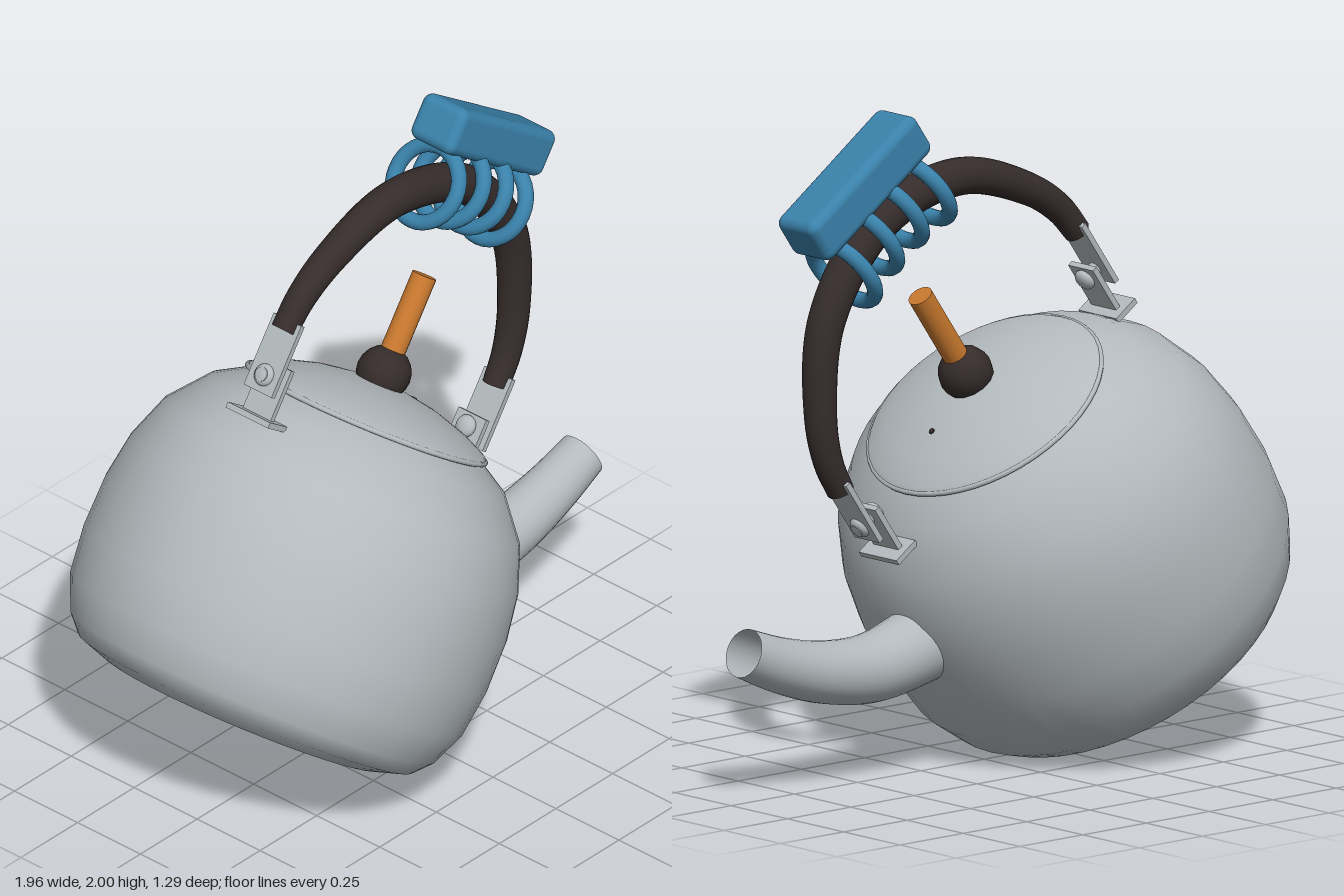
import * as THREE from 'three';
import { RoundedBoxGeometry } from 'three/addons/geometries/RoundedBoxGeometry.js';

const material = (name, color, side = THREE.FrontSide) => {
  const m = new THREE.MeshStandardMaterial({ color, side });
  m.name = name;
  return m;
};

const vec2 = (pts) => pts.map(([x, y]) => new THREE.Vector2(x, y));

// Tube along a smooth path, with a radius that varies along its length
function taperedTube(points, radiusAt, segments, sides) {
  const path = new THREE.CatmullRomCurve3(points.map(([x, y]) => new THREE.Vector3(x, y, 0)));
  const geo = new THREE.TubeGeometry(path, segments, 1, sides);
  const pos = geo.attributes.position;
  const v = new THREE.Vector3();
  for (let i = 0; i <= segments; i++) {
    const t = i / segments;
    const centre = path.getPointAt(t);
    for (let j = 0; j <= sides; j++) {
      const k = i * (sides + 1) + j;
      v.fromBufferAttribute(pos, k).sub(centre).multiplyScalar(radiusAt(t)).add(centre);
      pos.setXYZ(k, v.x, v.y, v.z);
    }
  }
  return geo;
}

export function createModel() {
  const steel = material('steel', 0xb3babd, THREE.DoubleSide);
  const dark = material('darkGrip', 0x352c2b);
  const blue = material('blue', 0x3a82ab);
  const wood = material('wood', 0xc8782e);

  const model = new THREE.Group();
  model.name = 'tiltedKettle';
  const kettle = new THREE.Group();
  kettle.name = 'kettle';
  kettle.position.set(-0.005, 1.07, 0);
  kettle.rotation.z = THREE.MathUtils.degToRad(-35);
  model.add(kettle);

  const add = (parent, name, geo, mat, x = 0, y = 0, z = 0) => {
    const mesh = new THREE.Mesh(geo, mat);
    mesh.name = name;
    mesh.position.set(x, y, z);
    parent.add(mesh);
    return mesh;
  };

  // Body: the lid rim lies at local y = 0
  const body = vec2([
    [0.44, -0.957], [0.535, -0.925], [0.582, -0.873], [0.628, -0.765], [0.645, -0.62],
    [0.642, -0.46], [0.62, -0.32], [0.568, -0.18], [0.468, -0.058], [0.37, 0.0],
  ]);
  add(kettle, 'body', new THREE.LatheGeometry(body, 48), steel);
  const base = add(kettle, 'base', new THREE.CircleGeometry(0.44, 48), steel, 0, -0.957, 0);
  base.rotation.x = Math.PI / 2;

  // Lid with rim, vent hole, knob and stick
  const lid = vec2([
    [0.385, 0.005], [0.37, 0.02], [0.3, 0.052], [0.2, 0.083], [0.1, 0.101], [0, 0.107],
  ]);
  add(kettle, 'lid', new THREE.LatheGeometry(lid, 48), steel);
  const rim = add(kettle, 'lidRim', new THREE.TorusGeometry(0.38, 0.008, 8, 48), steel, 0, 0.004, 0);
  rim.rotation.x = Math.PI / 2;
  const vent = add(kettle, 'ventHole', new THREE.CylinderGeometry(0.009, 0.009, 0.006, 12), dark, 0.2, 0.084, 0);
  vent.rotation.z = -0.25;
  add(kettle, 'knob', new THREE.SphereGeometry(0.083, 14, 10), dark, 0, 0.137, 0);
  add(kettle, 'knobStick', new THREE.CylinderGeometry(0.038, 0.038, 0.27, 20), wood, 0, 0.315, 0);

  // Handle mounts, mirrored on both sides
  for (const [side, name] of [[-1, 'rearMount'], [1, 'spoutSideMount']]) {
    const mount = new THREE.Group();
    mount.name = name;
    kettle.add(mount);
    add(mount, 'foot', new THREE.BoxGeometry(0.09, 0.018, 0.168), steel, side * 0.53, -0.087, 0);
    add(mount, 'bracket', new THREE.BoxGeometry(0.018, 0.165, 0.11), steel, side * 0.525, 0, 0);
    add(mount, 'strap', new THREE.BoxGeometry(0.018, 0.23, 0.11), steel, side * 0.568, 0.105, 0);
    const pin = add(mount, 'pin', new THREE.CylinderGeometry(0.022, 0.022, 0.1, 16), steel, side * 0.545, 0.042, 0);
    pin.rotation.z = Math.PI / 2;
    for (const x of [0.508, 0.577]) {
      add(mount, 'rivet', new THREE.SphereGeometry(0.034, 16, 10), steel, side * x, 0.042, 0).scale.x = 0.6;
    }
  }

  // Arched handle, thicker in the middle
  const half = [[-0.57, 0.185], [-0.556, 0.29], [-0.495, 0.43], [-0.313, 0.645]];
  const arch = [...half, [0, 0.745], ...half.map(([x, y]) => [-x, y]).reverse()];
  const handleRadius = (t) => 0.041 + 0.019 * Math.sin(Math.PI * t);
  add(kettle, 'handle', taperedTube(arch, handleRadius, 64, 20), dark);
  for (const s of [-1, 1]) {
    const cap = add(kettle, 'handleEnd', new THREE.CircleGeometry(0.041, 20), dark, s * 0.57, 0.185, 0);
    cap.rotation.x = Math.PI / 2;
  }

  // Blue grip block with four rings around the handle
  add(kettle, 'gripBlock', new RoundedBoxGeometry(0.51, 0.145, 0.172, 5, 0.03), blue, 0, 0.902, 0);
  [-0.18, -0.06, 0.06, 0.18].forEach((x, i) => {
    const y = i % 3 ? 0.738 : 0.718;
    const ring = add(kettle, 'gripRing', new THREE.TorusGeometry(0.117, 0.024, 12, 32), blue, x, y, 0);
    ring.rotation.y = Math.PI / 2;
  });

  // Curved open spout
  const spout = [[0.12, 0.44], [0.27, 0.385], [0.45, 0.345], [0.64, 0.358], [0.81, 0.403], [0.95, 0.458]];
  add(model, 'spout', taperedTube(spout, (t) => 0.125 - 0.051 * t, 40, 28), steel);

  return model;
}
